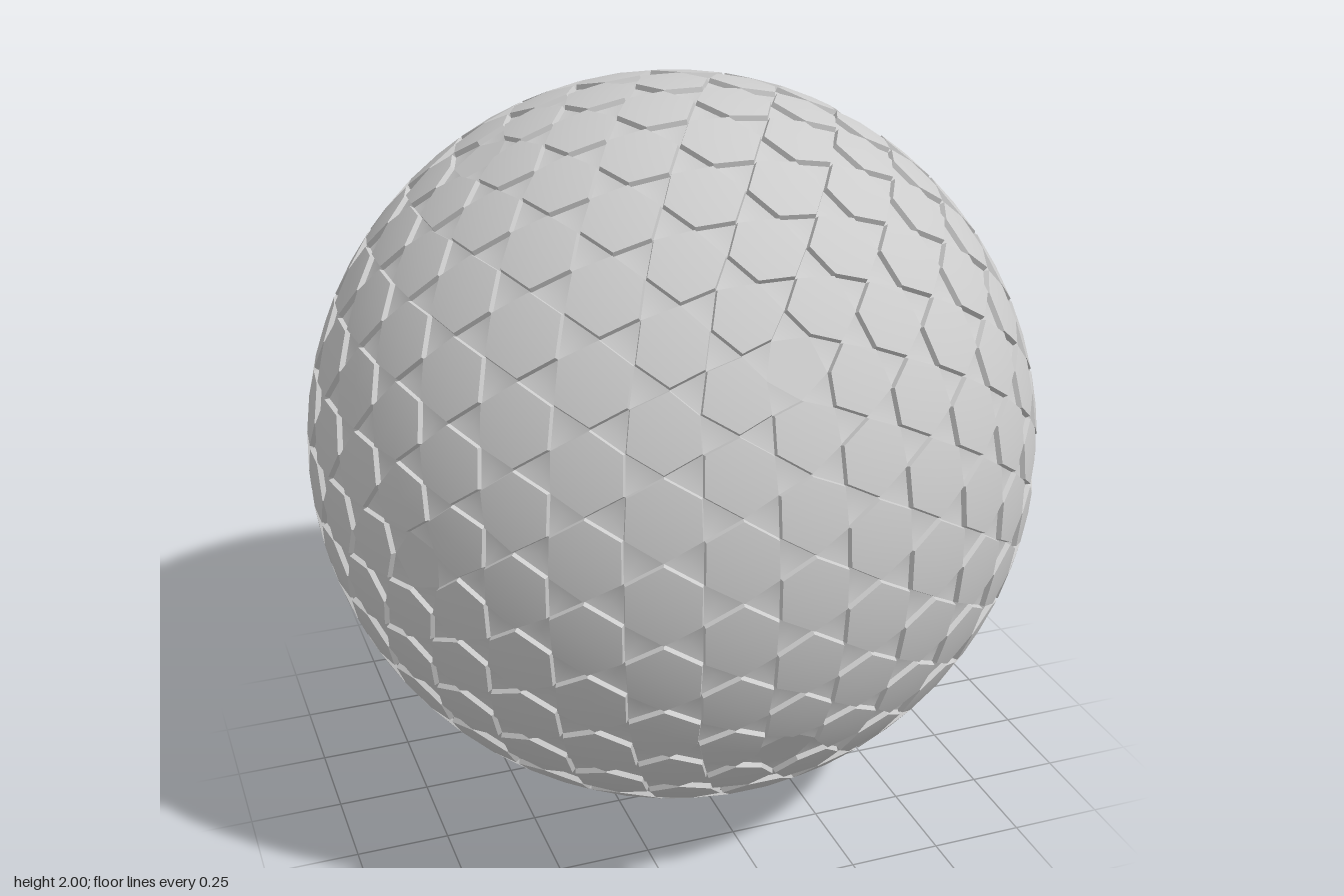
import * as THREE from 'three';

const TOP = 1, RIM = 0.987, PIT = 0.976;

// Collects triangles with normals into one geometry
function collector() {
  const pos = [], nor = [];
  return {
    tri(pts, normals) {
      const flat = pts[1].clone().sub(pts[0]).cross(pts[2].clone().sub(pts[0])).normalize();
      pts.forEach((p, i) => {
        pos.push(p.x, p.y, p.z);
        const n = normals ? normals[i] : flat;
        nor.push(n.x, n.y, n.z);
      });
    },
    build() {
      const g = new THREE.BufferGeometry();
      g.setAttribute('position', new THREE.Float32BufferAttribute(pos, 3));
      g.setAttribute('normal', new THREE.Float32BufferAttribute(nor, 3));
      return g;
    },
  };
}

// Lattice of tile centres: each icosahedron edge split into six
function lattice() {
  const p = new THREE.IcosahedronGeometry(1, 5).getAttribute('position');
  const points = [], faces = [];
  for (let i = 0; i < p.count; i += 3) {
    faces.push([0, 1, 2].map((k) => {
      const v = new THREE.Vector3().fromBufferAttribute(p, i + k).normalize();
      let id = points.findIndex((q) => q.distanceToSquared(v) < 1e-4);
      if (id < 0) id = points.push(v) - 1;
      return id;
    }));
  }
  return { points, faces };
}

const mid = (a, b) => a.clone().add(b).normalize();
const at = (v, r) => v.clone().multiplyScalar(r);

export function createModel() {
  const group = new THREE.Group();
  const { points, faces } = lattice();
  const tiles = collector(), pits = collector();

  // neighbours of each lattice point
  const near = points.map(() => new Set());
  faces.forEach((f) => f.forEach((a) => f.forEach((b) => a !== b && near[a].add(b))));

  // a shallow hollow: smooth fan from its rim to a sunken centre
  function hollow(corners, flatFloor) {
    const c = corners.reduce((s, v) => s.add(v), new THREE.Vector3()).normalize();
    const tilt = (v) => v.clone().addScaledVector(c.clone().sub(v), flatFloor ? 1 : 4).normalize();
    corners.forEach((a, i) => {
      const b = corners[(i + 1) % corners.length];
      pits.tri([at(c, PIT), at(a, RIM), at(b, RIM)], [c, tilt(a), tilt(b)]);
    });
  }

  // triangular hollows between tiles
  faces.forEach((f) => {
    const [a, b, c] = f.map((i) => points[i]);
    hollow([mid(a, b), mid(b, c), mid(c, a)], false);
  });

  points.forEach((p, i) => {
    // corners halfway to each neighbour, sorted counterclockwise
    const u = points[[...near[i]][0]].clone().projectOnPlane(p).normalize();
    const w = p.clone().cross(u);
    const corners = [...near[i]].map((j) => mid(p, points[j]))
      .sort((a, b) => Math.atan2(a.dot(w), a.dot(u)) - Math.atan2(b.dot(w), b.dot(u)));

    // the twelve five-sided spots stay sunken, forming star hollows
    if (corners.length === 5) return hollow(corners, true);

    // raised hexagonal tile with gently domed top and slanted rim
    const top = corners.map((v) => v.clone().lerp(p, 0.04).normalize());
    corners.forEach((a, k) => {
      const n = (k + 1) % corners.length;
      const b = corners[n], ta = top[k], tb = top[n];
      tiles.tri([at(p, TOP), at(ta, TOP), at(tb, TOP)], [p, ta, tb]);
      tiles.tri([at(ta, TOP), at(a, RIM), at(b, RIM)]);
      tiles.tri([at(ta, TOP), at(b, RIM), at(tb, TOP)]);
    });
  });

  const material = new THREE.MeshStandardMaterial({ color: 0xcccccc, side: THREE.DoubleSide });
  for (const [name, part] of [['hexagonalTiles', tiles], ['hollows', pits]]) {
    const mesh = new THREE.Mesh(part.build(), material);
    mesh.name = name;
    mesh.position.y = 1;
    group.add(mesh);
  }
  group.name = 'tiledSphere';
  return group;
}
